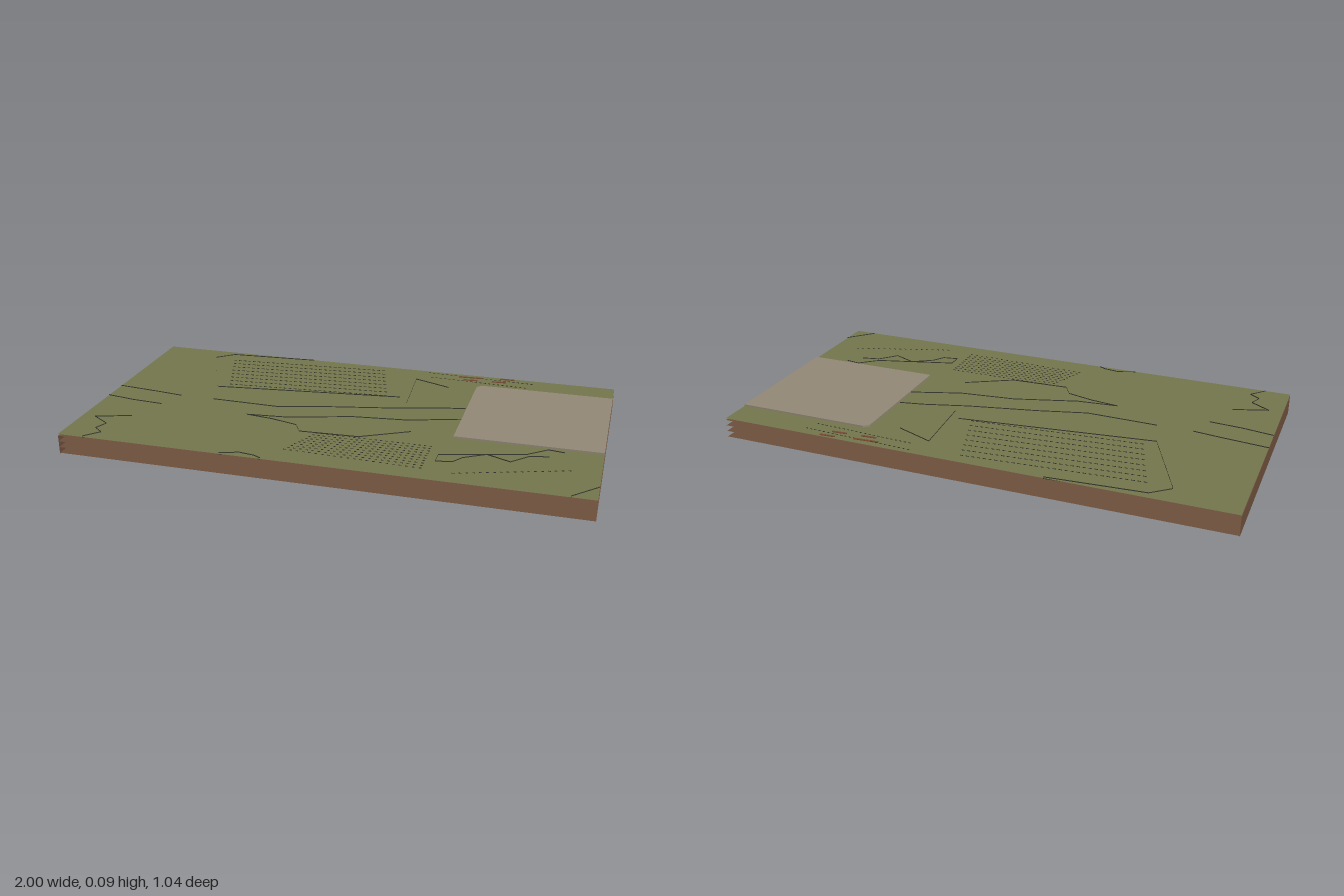
import * as THREE from 'three';

const flat = (name, color) => {
  const m = new THREE.MeshStandardMaterial({ color, side: THREE.DoubleSide });
  m.name = name;
  return m;
};

export function createModel() {
  const grass = flat('olive grass', 0x74774d);
  const earth = flat('brown earth', 0x6e503c);
  const paving = flat('tan paving', 0x938977);
  const dark = flat('dark relief', 0x383a30);
  const clay = flat('red clay', 0x7a4a34);

  const model = new THREE.Group();
  model.name = 'terrainSlab';
  const add = (name, geometry, material) => {
    const mesh = new THREE.Mesh(geometry, material);
    mesh.name = name;
    model.add(mesh);
    return mesh;
  };
  const sheet = (y) => new THREE.PlaneGeometry(2, 1.04).rotateX(-Math.PI / 2).translate(0, y, 0);

  // Stacked earth strata, open on three sides
  [0.004, 0.028, 0.052, 0.075].forEach((y, i) => add('earthLayer' + (i + 1), sheet(y), earth));

  // Closed end wall
  add('endWall', new THREE.PlaneGeometry(1.04, 0.075).rotateY(Math.PI / 2).translate(-1, 0.0375, 0), earth);

  // Ground surface
  add('grassSurface', sheet(0.082), grass);

  // Raised paved plot with one clipped corner
  const plot = new THREE.Shape();
  plot.moveTo(0.445, -0.15);
  plot.lineTo(1, -0.15);
  plot.lineTo(1, 0.395);
  plot.lineTo(0.465, 0.395);
  plot.lineTo(0.445, 0.375);
  plot.closePath();
  const plotGeometry = new THREE.ExtrudeGeometry(plot, { depth: 0.012, bevelEnabled: false });
  add('pavedPlot', plotGeometry.rotateX(-Math.PI / 2).translate(0, 0.077, 0), paving);

  // Vertical ribbons that follow [x, z] paths
  const ribbons = (name, paths, low = 0.076, high = 0.086) => {
    const pos = [];
    for (const path of paths) {
      for (let i = 0; i + 1 < path.length; i++) {
        const [a, b] = path[i], [c, d] = path[i + 1];
        pos.push(a, low, b, c, low, d, c, high, d, a, low, b, c, high, d, a, high, b);
      }
    }
    const g = new THREE.BufferGeometry();
    g.setAttribute('position', new THREE.Float32BufferAttribute(pos, 3));
    g.computeVertexNormals();
    return add(name, g, dark);
  };

  // Field boundary
  ribbons('fieldEdge', [
    [[-0.31, -0.515], [-0.68, -0.49], [-0.75, -0.43], [-0.605, -0.1], [0.16, -0.19]],
    [[0.2, -0.13], [0.18, -0.41], [0.33, -0.35]],
  ]);

  // Banks of the central track
  ribbons('trackEdges', [
    [[-1, 0], [-0.82, 0.02], [-0.71, 0.035]],
    [[-0.57, 0.035], [-0.29, 0.042], [-0.1, -0.01], [0.17, -0.07], [0.34, -0.12], [0.44, -0.14]],
    [[-1, 0.11], [-0.88, 0.13], [-0.75, 0.14]],
    [[-0.38, 0.15], [-0.22, 0.135], [0.03, 0.06], [0.25, 0.035], [0.38, -0.01], [0.445, -0.03]],
  ]);

  // Small terraces and ditches
  ribbons('terraceEdges', [
    [[-0.38, 0.15], [-0.27, 0.165], [-0.16, 0.195], [-0.13, 0.25], [0.1, 0.24], [0.28, 0.14]],
    [[-0.81, 0.285], [-0.945, 0.33], [-0.87, 0.38], [-0.89, 0.43], [-0.85, 0.46], [-0.9, 0.515]],
    [[-0.35, 0.515], [-0.28, 0.49], [-0.22, 0.5], [-0.19, 0.515]],
    [[0.91, 0.515], [1, 0.42]],
    [[0.59, 0.265], [0.42, 0.315], [0.42, 0.37], [0.48, 0.36], [0.51, 0.315], [0.59, 0.265],
      [0.68, 0.305], [0.74, 0.24], [0.81, 0.225]],
    [[0.59, 0.265], [0.73, 0.225], [0.8, 0.165], [0.86, 0.175]],
  ]);

  // Rows of tiny upright markers between two points
  const row = (x0, z0, x1, z1, count, size = 0.01) => Array.from({ length: count }, (_, i) => {
    const t = i / (count - 1);
    const x = x0 + (x1 - x0) * t, z = z0 + (z1 - z0) * t;
    return [[x - size / 2, z], [x + size / 2, z]];
  });
  const largeField = [], smallField = [];
  for (let i = 0; i < 8; i++) {
    const t = i / 7;
    largeField.push(...row(-0.65 + 0.09 * t, -0.42 + 0.28 * t, 0.02 + 0.08 * t, -0.47 + 0.28 * t, 32, 0.013));
  }
  for (let i = 0; i < 10; i++) {
    const t = i / 9;
    smallField.push(...row(-0.06 - 0.07 * t, 0.25 + 0.17 * t, 0.38, 0.25 + 0.19 * t, 22));
  }
  ribbons('largeFieldRows', largeField, 0.08, 0.085);
  ribbons('smallFieldRows', smallField, 0.08, 0.085);
  ribbons('fencePosts', [
    ...row(0.22, -0.5, 0.66, -0.48, 24),
    ...row(0.24, -0.45, 0.64, -0.43, 22),
    ...row(0.5, 0.45, 0.89, 0.32, 18),
  ], 0.08, 0.085);

  // Clay strips near the back edge
  [[0.4, -0.49], [0.405, -0.46], [0.555, -0.507], [0.525, -0.468]].forEach(([x, z], i) => {
    const strip = new THREE.BoxGeometry(i < 1 ? 0.1 : 0.06, 0.003, 0.008).rotateY(0.06);
    add('clayStrip' + (i + 1), strip.translate(x, 0.0835, z), clay);
  });

  return model;
}
